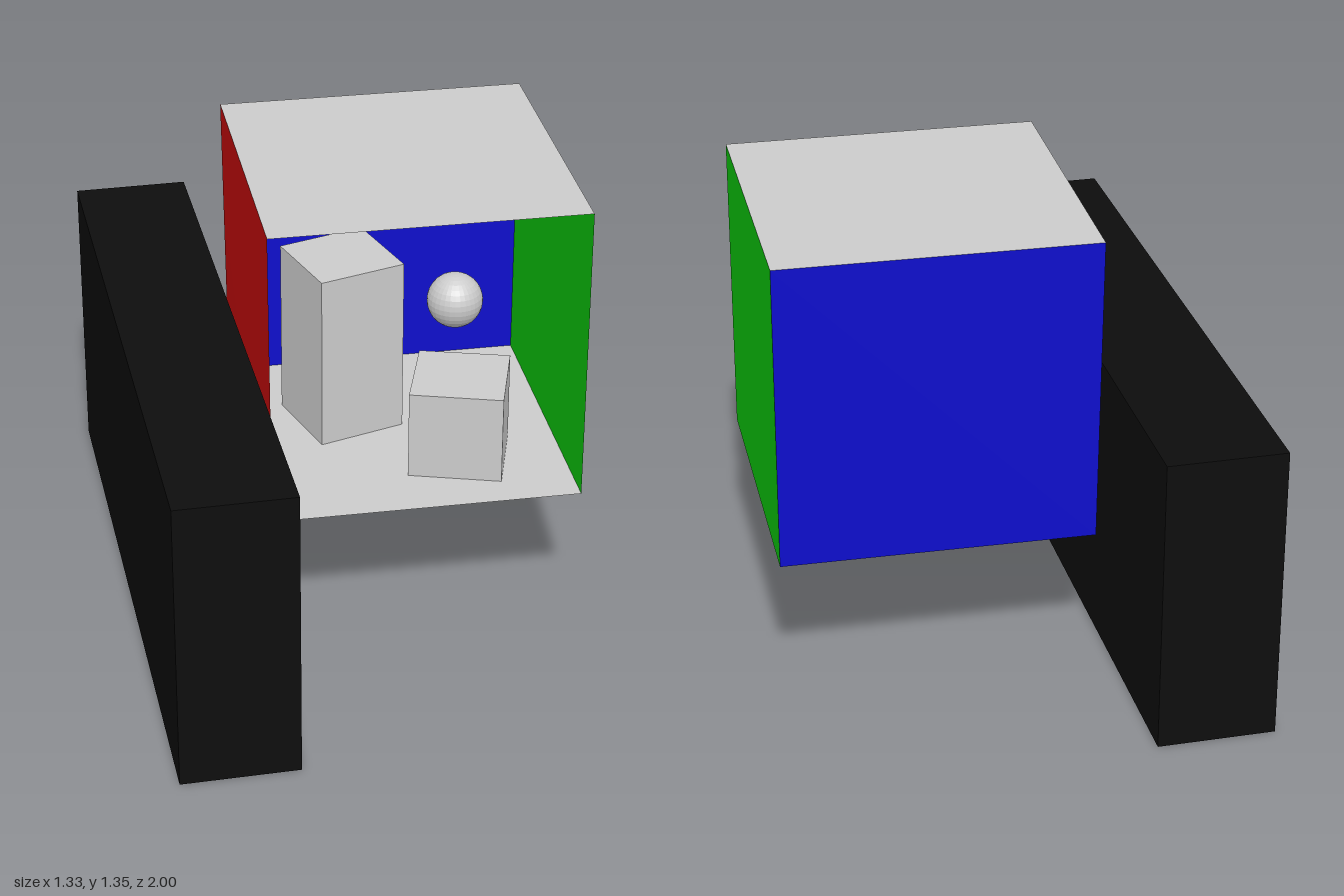
import * as THREE from 'three';

// Room layout in plan units: x runs leftwards from the right wall, z runs inwards from the opening
const S = 0.001664;
const px = (x) => 0.665 - x * S;
const py = (y) => 0.44 + y * S;
const pz = (z) => 0.385 - z * S;

const material = (name, color, side = THREE.FrontSide) => {
  const m = new THREE.MeshStandardMaterial({ color, side });
  m.name = name;
  return m;
};

// Open four-cornered panel
function panel(name, corners, mat) {
  const geo = new THREE.BufferGeometry();
  const pos = corners.flatMap(([x, y, z]) => [px(x), py(y), pz(z)]);
  geo.setAttribute('position', new THREE.Float32BufferAttribute(pos, 3));
  geo.setIndex([0, 1, 2, 0, 2, 3]);
  geo.computeVertexNormals();
  const mesh = new THREE.Mesh(geo, mat);
  mesh.name = name;
  return mesh;
}

// Upright block standing on the room floor, from its plan corners
function block(name, plan, height, mat) {
  const shape = new THREE.Shape(plan.map(([x, z]) => new THREE.Vector2(px(x), -pz(z))));
  const geo = new THREE.ExtrudeGeometry(shape, { depth: height * S, bevelEnabled: false });
  geo.rotateX(-Math.PI / 2);
  const mesh = new THREE.Mesh(geo, mat);
  mesh.name = name;
  mesh.position.y = py(0);
  return mesh;
}

export function createModel() {
  const white = material('white', 0xcccccc, THREE.DoubleSide);
  const red = material('red', 0xcc0d0d, THREE.DoubleSide);
  const green = material('green', 0x0dcc0d, THREE.DoubleSide);
  const blue = material('blue', 0x0d0dcc, THREE.DoubleSide);
  const black = material('black', 0x0d0d0d);

  // Room shell, open at the front, with slightly skewed red wall
  const H = 548.8, D = 559.2, W = 556;
  const room = new THREE.Group();
  room.name = 'room';
  room.add(
    panel('floor', [[552.8, 0, 0], [0, 0, 0], [0, 0, D], [549.6, 0, D]], white),
    panel('ceiling', [[W, H, 0], [W, H, D], [0, H, D], [0, H, 0]], white),
    panel('backWall', [[549.6, 0, D], [0, 0, D], [0, H, D], [W, H, D]], blue),
    panel('greenWall', [[0, 0, D], [0, 0, 0], [0, H, 0], [0, H, D]], green),
    panel('redWall', [[552.8, 0, 0], [549.6, 0, D], [W, H, D], [W, H, 0]], red),
  );

  // Objects inside the room
  room.add(
    block('tallBlock', [[423, 247], [265, 296], [314, 456], [472, 406]], 330, white),
    block('shortBlock', [[130, 65], [82, 225], [240, 272], [290, 114]], 165, white),
  );
  const ballGeo = new THREE.SphereGeometry(0.083, 32, 16).toNonIndexed();
  ballGeo.computeVertexNormals(); // faceted
  const ball = new THREE.Mesh(ballGeo, white);
  ball.name = 'ball';
  ball.position.set(0.35, 0.93, 0.03);
  room.add(ball);

  // Long dark slab beside the room
  const slab = new THREE.Mesh(new THREE.BoxGeometry(0.345, 0.89, 1.99), black);
  slab.name = 'darkSlab';
  slab.position.set(-0.47, 0.445, 0);
  slab.rotation.y = 0.0277;

  const model = new THREE.Group();
  model.name = 'model';
  model.add(room, slab);
  return model;
}
